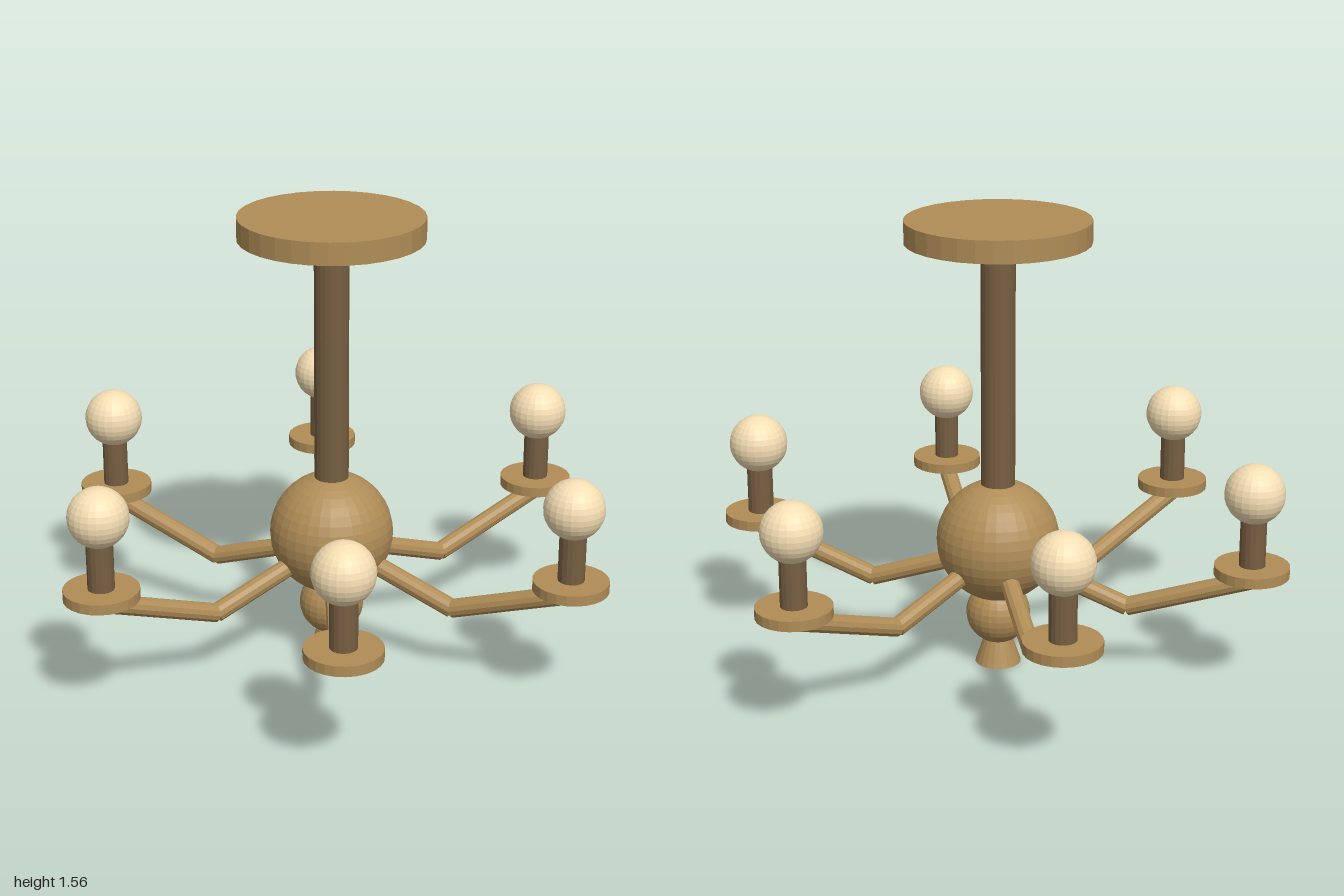
import * as THREE from 'three';

const material = (color) => new THREE.MeshStandardMaterial({ color, flatShading: true });

export function createModel() {
  const model = new THREE.Group();
  model.name = 'chandelier';
  const brass = material(0xb08d57);
  const bronze = material(0x775f42);
  const glow = material(0xf5deb3);

  function add(parent, name, geometry, mat, x, y) {
    const mesh = new THREE.Mesh(geometry, mat);
    mesh.name = name;
    mesh.position.set(x, y, 0);
    parent.add(mesh);
    return mesh;
  }

  // Upright cylinder or cone between two heights
  function post(parent, name, rTop, rBottom, y0, y1, sides, mat, x = 0) {
    return add(parent, name, new THREE.CylinderGeometry(rTop, rBottom, y1 - y0, sides), mat, x, (y0 + y1) / 2);
  }

  // Square-ended rod between two points in the arm's plane
  function rod(parent, name, a, b, radius) {
    const dx = b[0] - a[0], dy = b[1] - a[1];
    const mesh = add(parent, name, new THREE.CylinderGeometry(radius, radius, Math.hypot(dx, dy), 12),
      brass, (a[0] + b[0]) / 2, (a[1] + b[1]) / 2);
    mesh.rotation.z = Math.atan2(dy, dx) - Math.PI / 2;
  }

  // Central column, top to bottom
  post(model, 'ceilingPlate', 0.308, 0.308, 1.485, 1.56, 32, brass);
  post(model, 'stem', 0.058, 0.058, 0.5, 1.485, 20, bronze);
  add(model, 'hub', new THREE.SphereGeometry(0.21, 32, 20), brass, 0, 0.45);
  add(model, 'lowerBall', new THREE.SphereGeometry(0.11, 24, 16), brass, 0, 0.185);
  post(model, 'finial', 0.045, 0.079, 0, 0.1, 20, brass);

  // Six arms, each with a cup, candle and bulb
  for (let i = 0; i < 6; i++) {
    const arm = new THREE.Group();
    arm.name = 'arm' + (i + 1);
    rod(arm, 'innerRod', [0.12, 0.376], [0.455, 0.26], 0.032);
    rod(arm, 'outerRod', [0.455, 0.26], [0.873, 0.406], 0.032);
    post(arm, 'cup', 0.125, 0.125, 0.425, 0.46, 24, brass, 0.873);
    post(arm, 'candle', 0.044, 0.044, 0.46, 0.64, 16, bronze, 0.873);
    add(arm, 'bulb', new THREE.SphereGeometry(0.1, 24, 16), glow, 0.873, 0.708);
    arm.rotation.y = i * Math.PI / 3;
    model.add(arm);
  }
  return model;
}
